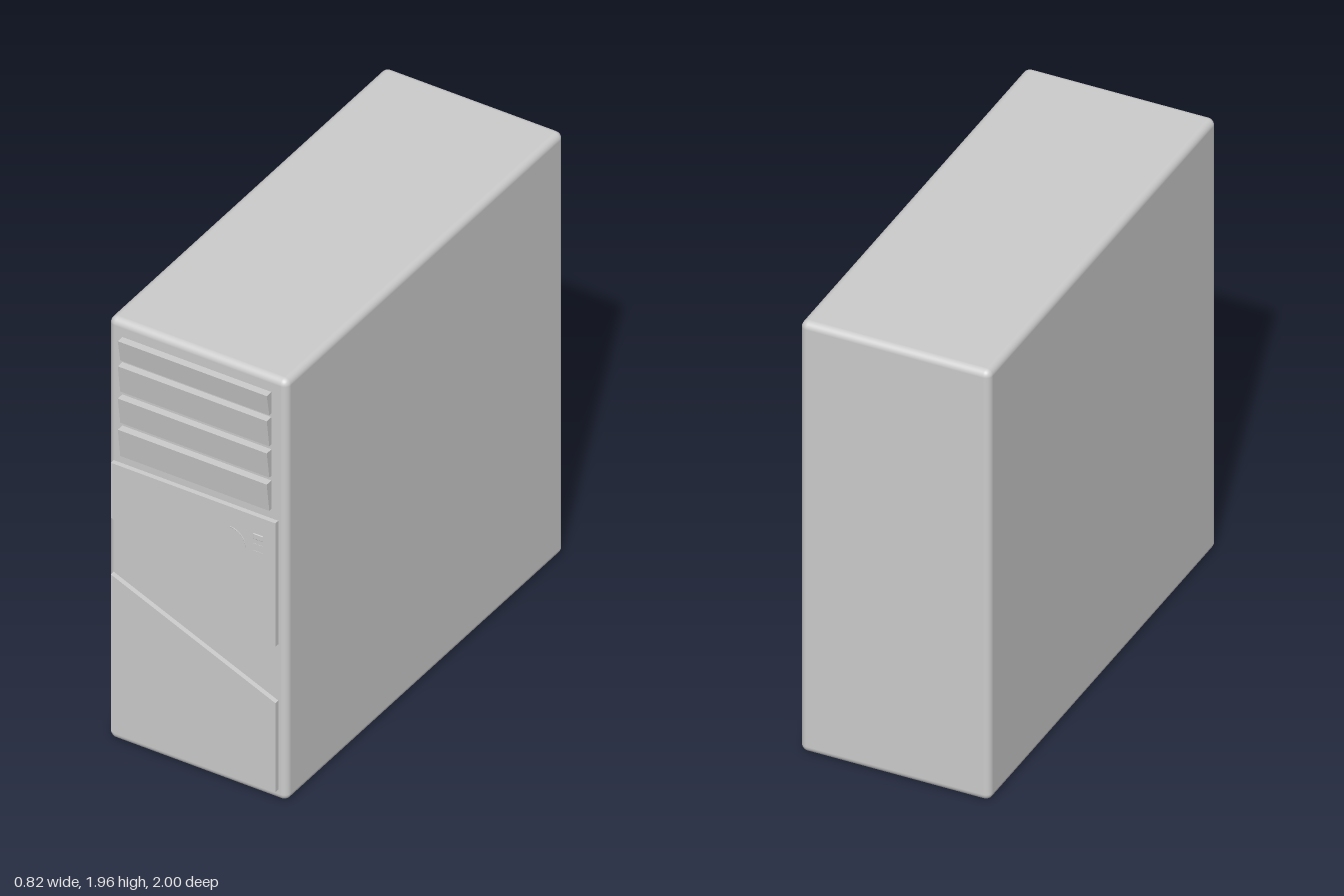
import * as THREE from 'three';
import { RoundedBoxGeometry } from 'three/addons/geometries/RoundedBoxGeometry.js';

const FRONT = 0.964; // z of the case front
const PANEL = 0.985; // z of the front panels' outer face

export function createModel() {
  const model = new THREE.Group();
  model.name = 'computerTower';
  const tower = new THREE.Group();
  tower.name = 'tower';
  tower.rotation.y = 0.0095; // the tower stands very slightly turned
  model.add(tower);

  const material = new THREE.MeshStandardMaterial({ color: 0xcccccc });
  const add = (name, geometry, x = 0, y = 0, z = 0) => {
    const mesh = new THREE.Mesh(geometry, material);
    mesh.name = name;
    mesh.position.set(x, y, z);
    tower.add(mesh);
    return mesh;
  };
  const extrude = (points, depth) => new THREE.ExtrudeGeometry(
    new THREE.Shape(points.map(([x, y]) => new THREE.Vector2(x, y))),
    { depth, bevelEnabled: false });

  // Case with softly rounded edges
  add('case', new RoundedBoxGeometry(0.805, 1.96, 1.96, 4, 0.03), 0, 0.98, -0.016);

  // Drive bay covers: wedges that lean out towards the top
  const bays = [[1.79, 1.89], [1.645, 1.773], [1.5, 1.623], [1.345, 1.478]];
  bays.forEach(([bottom, top], i) => {
    const profile = [[FRONT - 0.01, bottom], [0.979, bottom], [0.997, top], [FRONT - 0.01, top]];
    const cover = add(`driveBayCover${i + 1}`, extrude(profile, 0.671), 0.333);
    cover.rotation.y = -Math.PI / 2;
  });

  // Front panels, separated by a slanted band
  const left = -0.377, right = 0.364, back = FRONT - 0.01;
  add('upperPanel', extrude(
    [[left, 1.047], [right, 0.727], [right, 1.302], [left, 1.302]], PANEL - back), 0, 0, back);
  add('lowerPanel', extrude(
    [[left, 0.05], [right, 0.05], [right, 0.465], [left, 0.782]], PANEL - back), 0, 0, back);

  // Power button with a thin curved ridge beside it
  add('powerButton', new RoundedBoxGeometry(0.045, 0.026, 0.008, 2, 0.003), 0.287, 1.208, PANEL);
  add('buttonArc', new THREE.TorusGeometry(0.07, 0.002, 6, 24, Math.PI / 2), 0.16, 1.14, PANEL);

  // Small front ports
  for (const y of [1.168, 1.135]) {
    add('frontPort', new THREE.BoxGeometry(0.04, 0.012, 0.003), 0.287, y, PANEL);
  }
  return model;
}
